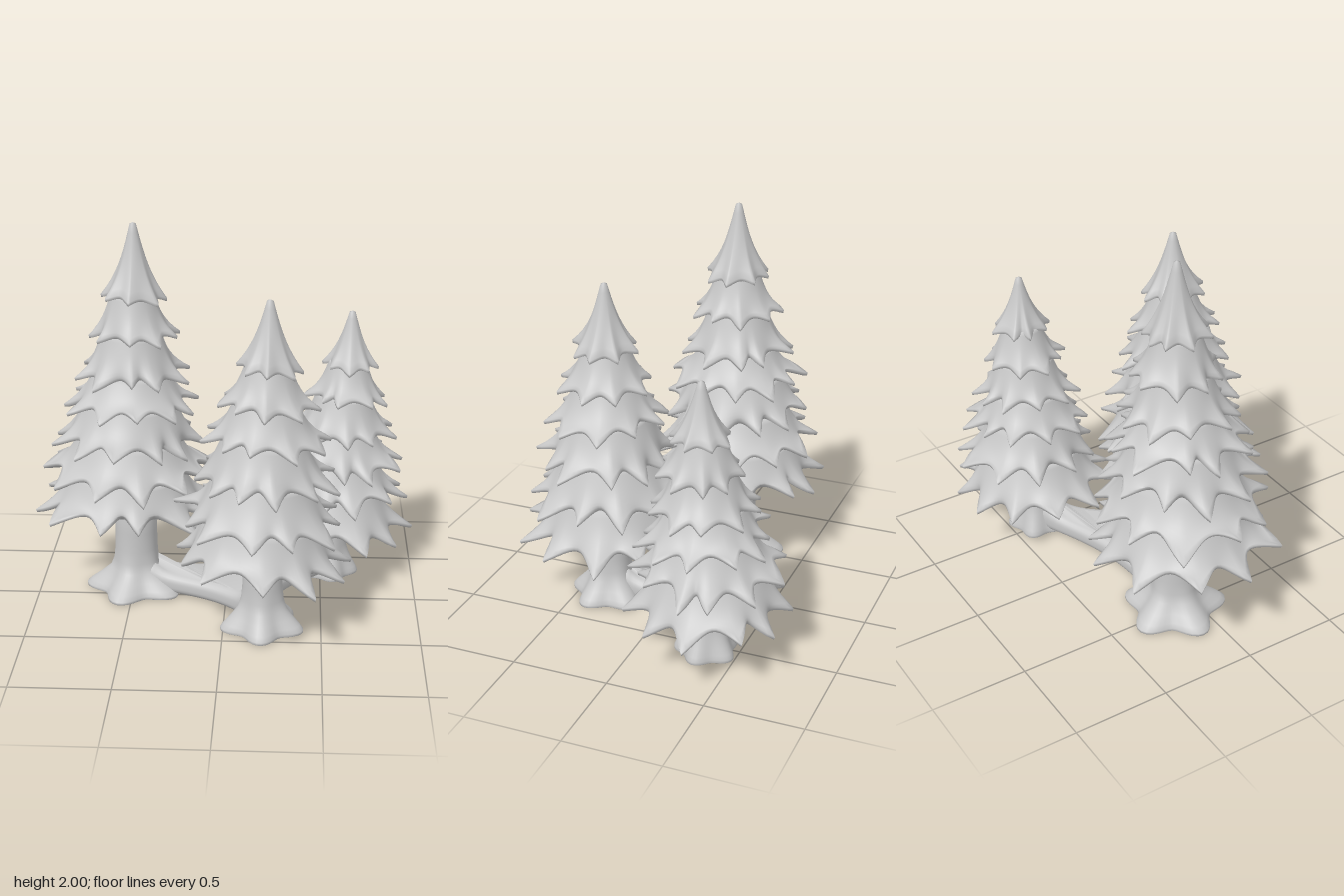
import * as THREE from 'three';
import { mergeVertices, toCreasedNormals } from 'three/addons/utils/BufferGeometryUtils.js';

const clay = new THREE.MeshStandardMaterial({ color: 0xc8c8c8 });
clay.name = 'clay grey';

// Small seeded random generator
function seeded(seed) {
  let s = seed;
  return () => (s = (s * 16807) % 2147483647) / 2147483647;
}

// Closed surface of rings running from top to bottom; point(row, angle) gives [x, y, z]
function loft(rows, cols, point) {
  const pos = [], idx = [];
  for (let i = 0; i < rows; i++)
    for (let j = 0; j < cols; j++) pos.push(...point(i, (j / cols) * Math.PI * 2));
  for (let i = 0; i < rows - 1; i++)
    for (let j = 0; j < cols; j++) {
      const k = (j + 1) % cols, a = i * cols + j, b = i * cols + k;
      idx.push(a, b, a + cols, b, b + cols, a + cols);
    }
  const g = new THREE.BufferGeometry();
  g.setAttribute('position', new THREE.Float32BufferAttribute(pos, 3));
  g.setIndex(idx);
  g.computeVertexNormals();
  return g;
}

function part(geometry, name) {
  const m = new THREE.Mesh(geometry, clay);
  m.name = name;
  return m;
}

// One skirt of drooping, pointed branches with a nearly flat underside
function skirt({ rTop, yTop, r, y, tips, tilt, rnd }) {
  const phase = rnd() * 6.28, STEPS = 10;
  const list = (size) => Array.from({ length: tips }, () => (rnd() - 0.5) * size);
  const reach = list(0.16), drop = list(0.14 * r), swing = list(2.4 / tips), depth = list(0.16);
  const at = (values, u) => {
    const i = Math.floor(u), f = u - i, s = f * f * (3 - 2 * f);
    return THREE.MathUtils.lerp(values[i % tips], values[(i + 1) % tips], s);
  };
  return loft(STEPS + 5, tips * 12, (i, angle) => {
    const u = (angle / (Math.PI * 2)) * tips;
    const valley = Math.abs(Math.sin(Math.PI * u));
    const t = Math.min(Math.max(i - 1, 0) / (STEPS - 1), 1);
    const fold = t * t;
    const a = angle + phase + at(swing, u);
    const rim = r * (0.98 + at(reach, u)) * (1 - (0.24 + at(depth, u)) * valley);
    let rad = THREE.MathUtils.lerp(rTop, THREE.MathUtils.lerp(r * 0.88, rim, fold), 0.65 * t + 0.35 * t ** 3);
    let h = THREE.MathUtils.lerp(yTop, y, t) + fold * t * (0.12 * r * valley + at(drop, u));
    if (i === 0) { rad = 0; h = yTop + 0.008; }
    // Rounded lip, then the underside
    if (i === STEPS + 1) { rad *= 0.985; h -= 0.016; }
    if (i === STEPS + 2) { rad *= 0.92; h -= 0.014; }
    if (i === STEPS + 3) { rad = r * 0.55; h = y + 0.03; }
    if (i === STEPS + 4) { rad = 0; h = y + 0.03; }
    const x = Math.cos(a) * rad;
    return [x, h + tilt * x, Math.sin(a) * rad];
  });
}

// Trunk flaring into root lobes
function trunk(r, rootR, height, phase) {
  const profile = [[0, height], [r, height], [r, 0.34], [r * 1.03, 0.24], [r * 1.1, 0.17], [r * 1.27, 0.12],
    [r * 1.27 + (rootR - r * 1.27) * 0.42, 0.075], [r * 1.27 + (rootR - r * 1.27) * 0.8, 0.04],
    [rootR, 0.018], [rootR, 0.004], [rootR * 0.96, 0], [0, 0]];
  return loft(profile.length, 60, (i, a) => {
    const [pr, y] = profile[i];
    const lobe = Math.max(0, pr - r) * 0.48 * (0.5 - 0.5 * Math.cos(5 * (a - phase)));
    return [Math.cos(a) * (pr - lobe), y, Math.sin(a) * (pr - lobe)];
  });
}

const TREES = [
  { name: 'tallTree', foot: [-0.485, -0.11], skirt: [-0.52, -0.1], tip: [-0.47, -0.11], top: 2.0,
    trunkR: 0.11, rootR: 0.27, phase: Math.PI, tilt: -0.03, seed: 71,
    rims: [[0.175, 1.62], [0.24, 1.42], [0.3, 1.21], [0.37, 1.05], [0.42, 0.86], [0.47, 0.67], [0.49, 0.48]] },
  { name: 'frontTree', foot: [0.2, 0.33], skirt: [0.185, 0.33], tip: [0.225, 0.33], top: 1.74,
    trunkR: 0.1, rootR: 0.22, phase: 0.35, tilt: -0.08, seed: 1234,
    rims: [[0.175, 1.4], [0.25, 1.21], [0.32, 1.03], [0.375, 0.82], [0.435, 0.6], [0.465, 0.39]] },
  { name: 'shortTree', foot: [0.54, -0.34], skirt: [0.55, -0.36], tip: [0.64, -0.34], top: 1.49,
    trunkR: 0.09, rootR: 0.165, phase: 0.1, tilt: -0.06, seed: 907,
    rims: [[0.155, 1.2], [0.225, 1.02], [0.285, 0.83], [0.34, 0.67], [0.385, 0.49], [0.45, 0.29]] },
];

function tree(d) {
  const g = new THREE.Group(), rnd = seeded(d.seed), last = d.rims[d.rims.length - 1][1];
  g.name = d.name;
  const stem = part(trunk(d.trunkR, d.rootR, last + 0.12, d.phase), 'trunk');
  stem.position.set(d.foot[0], 0, d.foot[1]);
  g.add(stem);
  d.rims.forEach(([r, y], i) => {
    const above = d.rims[i - 1];
    const m = part(skirt({
      r, y, rnd, tilt: d.tilt,
      rTop: above ? above[0] * 0.62 : 0.016,
      yTop: above ? above[1] + 0.02 : d.top - 0.008,
      tips: 8 + Math.min(i, 3),
    }), i ? 'branchSkirt' : 'treetop');
    // The trees lean slightly from the lowest skirt towards the tip
    const k = Math.min(1, (1.35 * (y - last)) / (d.top - last));
    m.position.set(THREE.MathUtils.lerp(d.skirt[0], d.tip[0], k), 0, THREE.MathUtils.lerp(d.skirt[1], d.tip[1], k));
    g.add(m);
  });
  return g;
}

// Three-armed root bridge with concave sides, rising where it meets the trunks
function rootBridge() {
  const s = new THREE.Shape();
  s.moveTo(-0.46, -0.16);
  s.quadraticCurveTo(0.02, -0.06, 0.5, -0.35);
  s.lineTo(0.55, -0.3);
  s.quadraticCurveTo(0.14, -0.06, 0.23, 0.3);
  s.lineTo(0.15, 0.31);
  s.quadraticCurveTo(0.06, 0.04, -0.46, -0.06);
  let g = new THREE.ExtrudeGeometry(s, {
    depth: 0.025, bevelThickness: 0.04, bevelSize: 0.045, bevelSegments: 5, curveSegments: 24,
  });
  g.rotateX(Math.PI / 2);
  g.translate(0, 0.073, 0);
  const p = g.attributes.position;
  for (let i = 0; i < p.count; i++) {
    const near = Math.min(...TREES.map(({ foot, trunkR }) =>
      Math.max(0, Math.hypot(p.getX(i) - foot[0], p.getZ(i) - foot[1]) - trunkR)));
    p.setY(i, p.getY(i) * (1 + 0.6 * Math.exp(-near / 0.05)));
  }
  g.deleteAttribute('normal');
  g.deleteAttribute('uv');
  g = toCreasedNormals(mergeVertices(g), 0.9);
  return part(g, 'rootBridge');
}

export function createModel() {
  const model = new THREE.Group();
  model.name = 'pineTrees';
  TREES.forEach((d) => model.add(tree(d)));
  model.add(rootBridge());
  return model;
}
